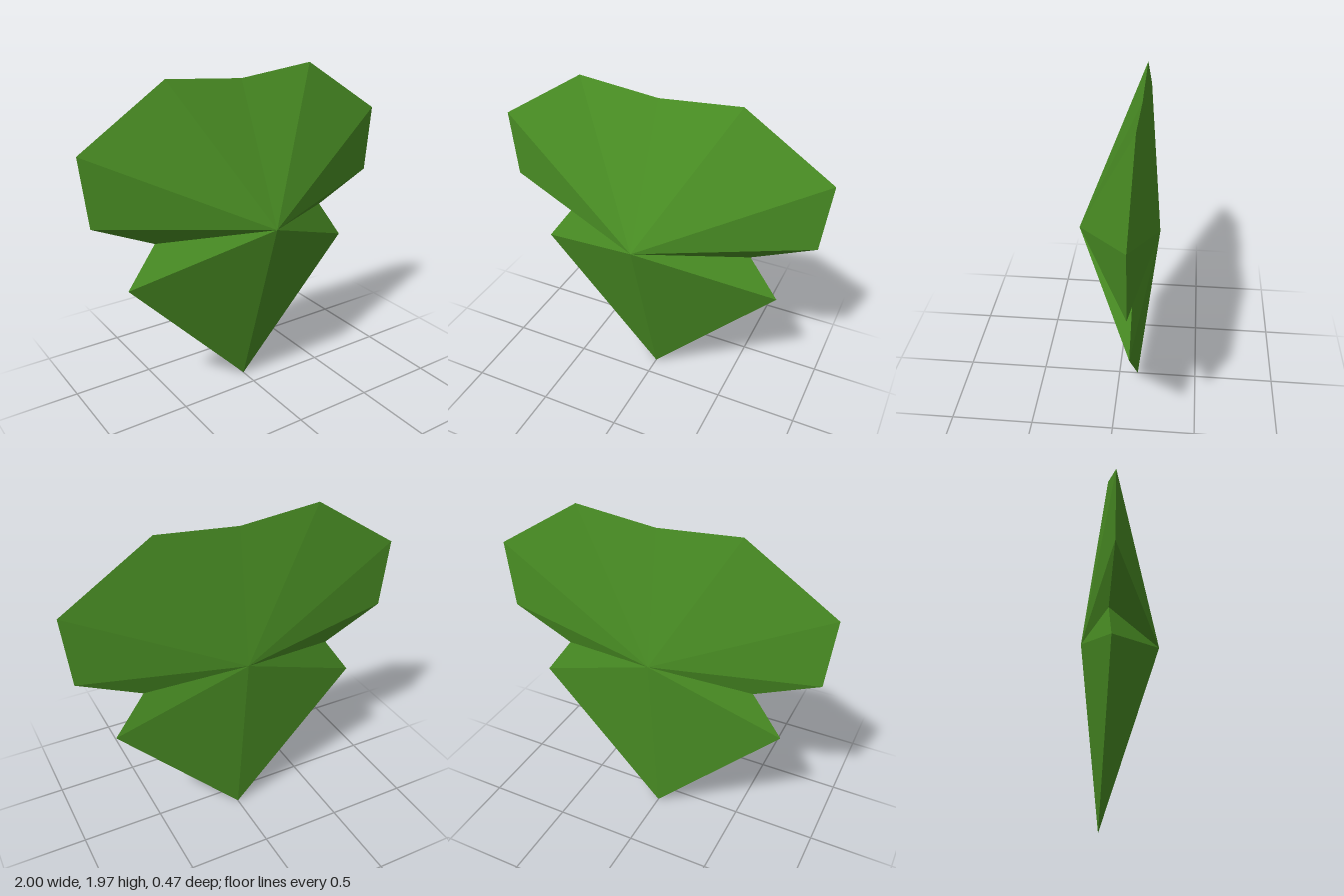
import * as THREE from 'three';

const leafGreen = new THREE.MeshStandardMaterial({ color: 0x4a8f24, flatShading: true });
leafGreen.name = 'leaf green';

const RIM_Z = -0.12, HUB_Y = 1.13;

// Left half of the outline, from the bottom tip up to the top notch
const half = [[0, 0], [0.77, 0.81], [0.59, 1.06], [0.96, 1.23], [1, 1.635], [0.48, 1.97], [0, 1.925]];
const mirrored = half.slice(1, -1).reverse().map(([x, y]) => [-x, y]);
const outline = [...half, ...mirrored];

// Fan of flat facets from the rim to a raised central point
function facetFan(name, hubZ) {
  const positions = [];
  outline.forEach((p, i) => {
    const q = outline[(i + 1) % outline.length];
    const [a, b] = hubZ > RIM_Z ? [p, q] : [q, p];
    positions.push(0, HUB_Y, hubZ, ...a, RIM_Z, ...b, RIM_Z);
  });
  const geometry = new THREE.BufferGeometry();
  geometry.setAttribute('position', new THREE.Float32BufferAttribute(positions, 3));
  geometry.computeVertexNormals();
  const mesh = new THREE.Mesh(geometry, leafGreen);
  mesh.name = name;
  return mesh;
}

export function createModel() {
  const leaf = new THREE.Group();
  leaf.name = 'leaf';
  // Tall front face and shallower back face share the same rim
  leaf.add(facetFan('leafFront', 0.237), facetFan('leafBack', -0.237));
  return leaf;
}
